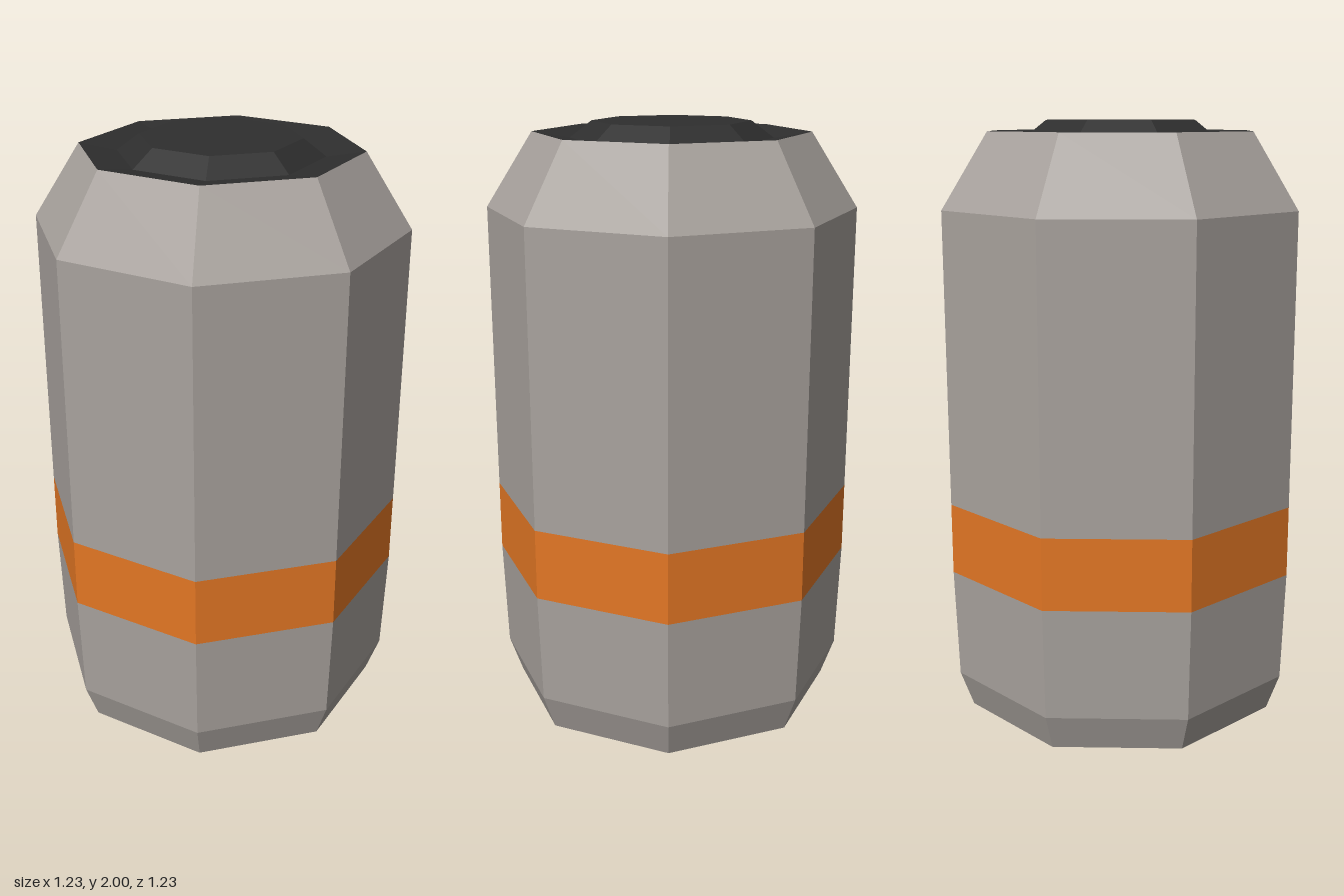
import * as THREE from 'three';

const shell = new THREE.MeshStandardMaterial({ color: 0xa8a29d });
shell.name = 'warm grey';
const stripe = new THREE.MeshStandardMaterial({ color: 0xe27624 });
stripe.name = 'orange';
const dark = new THREE.MeshStandardMaterial({ color: 0x2e2e2e });
dark.name = 'charcoal';

// Faceted eight-sided ring from [radius, height] pairs, listed bottom to top
function octagon(name, profile, material) {
  const points = profile.map(([r, y]) => new THREE.Vector2(r, y));
  const geometry = new THREE.LatheGeometry(points, 8).toNonIndexed();
  geometry.computeVertexNormals();
  const mesh = new THREE.Mesh(geometry, material);
  mesh.name = name;
  return mesh;
}

export function createModel() {
  const model = new THREE.Group();
  model.name = 'canister';

  model.add(
    // Flat underside
    octagon('base', [[0, 0], [0.555, 0]], dark),
    // Tapered foot below the band
    octagon('lowerBody', [[0.555, 0], [0.6, 0.125], [0.613, 0.5]], shell),
    // Painted band
    octagon('band', [[0.613, 0.5], [0.613, 0.74]], stripe),
    // Straight wall and sloped shoulder
    octagon('upperBody', [[0.613, 0.74], [0.613, 1.72], [0.457, 1.965]], shell),
    // Slightly dished lid with a raised centre
    octagon('lid', [[0.457, 1.965], [0.333, 1.945], [0.26, 2], [0, 2]], dark),
  );
  return model;
}
